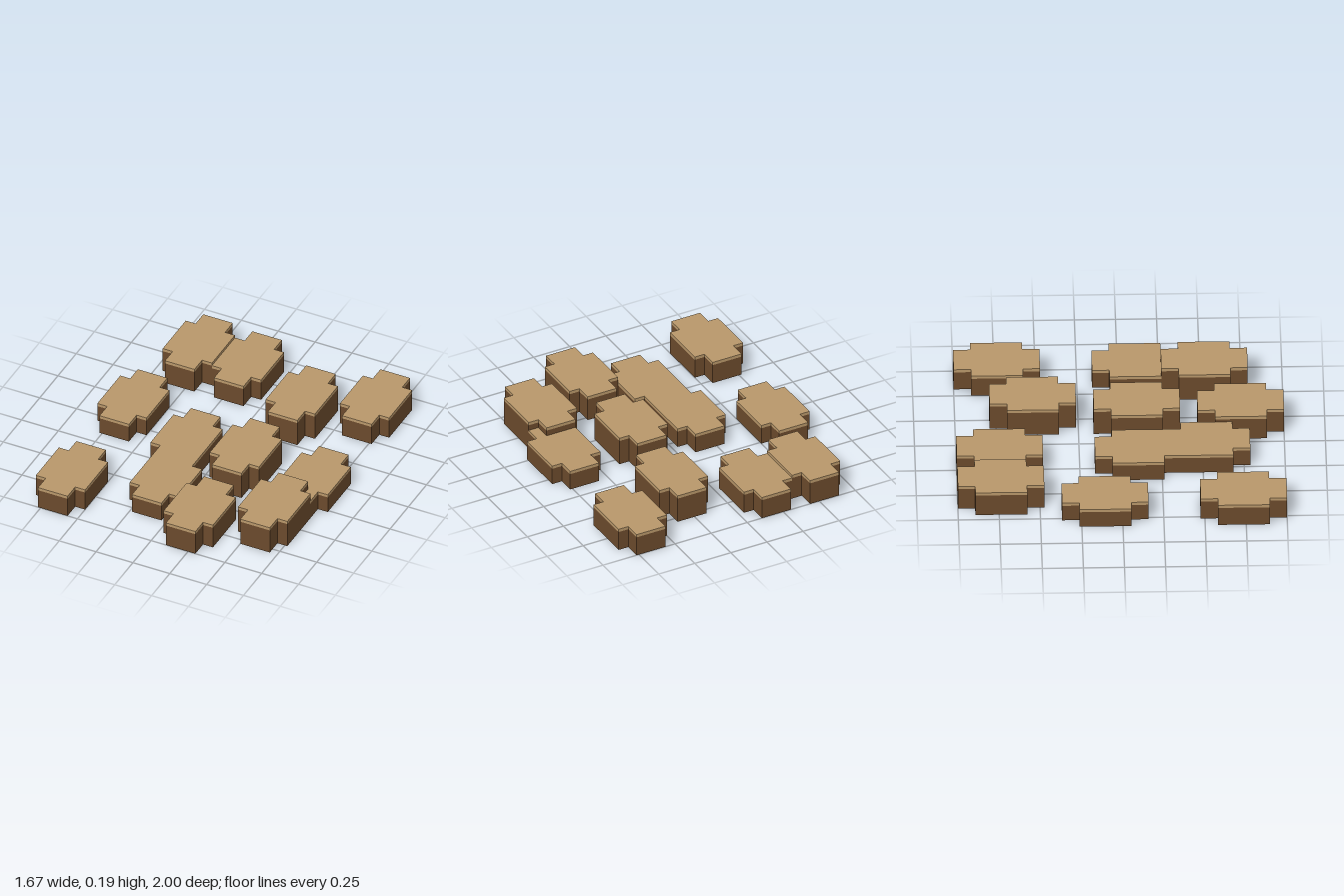
import * as THREE from 'three';

// Plus-shaped slab with its base at y = 0
function plusSlab(height) {
  const x1 = 0.1, x2 = 0.167, z1 = 0.158, z2 = 0.263;
  const corners = [
    [x1, -z2], [x1, -z1], [x2, -z1], [x2, z1], [x1, z1], [x1, z2],
    [-x1, z2], [-x1, z1], [-x2, z1], [-x2, -z1], [-x1, -z1], [-x1, -z2],
  ];
  const shape = new THREE.Shape(corners.map(([x, z]) => new THREE.Vector2(x, z)));
  const geometry = new THREE.ExtrudeGeometry(shape, { depth: height, bevelEnabled: false });
  return geometry.rotateX(-Math.PI / 2);
}

export function createModel() {
  const model = new THREE.Group();
  model.name = 'steppingBlocks';

  const brown = new THREE.MeshStandardMaterial({ color: 0x6b4a2c });
  brown.name = 'dark brown';
  const tan = new THREE.MeshStandardMaterial({ color: 0xb8976a });
  tan.name = 'tan';

  // Centre x, centre z and total height of each block
  const blocks = [
    [-0.535, -0.737, 0.168], [-0.202, -0.737, 0.149],
    [0.267, -0.527, 0.187], [0.667, -0.737, 0.149],
    [-0.667, -0.106, 0.13], [-0.202, 0.105, 0.13],
    [0.2, 0.105, 0.187], [0.667, 0.105, 0.13],
    [-0.135, 0.525, 0.13], [0.6, 0.525, 0.187],
    [-0.667, 0.737, 0.149], [0.2, 0.737, 0.168],
  ];
  const capHeight = 0.02;
  const capGeometry = plusSlab(capHeight);

  blocks.forEach(([x, z, height], i) => {
    const block = new THREE.Group();
    block.name = `block${i + 1}`;
    block.position.set(x, 0, z);

    // Dark body
    const body = new THREE.Mesh(plusSlab(height - capHeight), brown);
    body.name = 'body';

    // Light top layer
    const cap = new THREE.Mesh(capGeometry, tan);
    cap.name = 'topLayer';
    cap.position.y = height - capHeight;

    block.add(body, cap);
    model.add(block);
  });

  return model;
}
